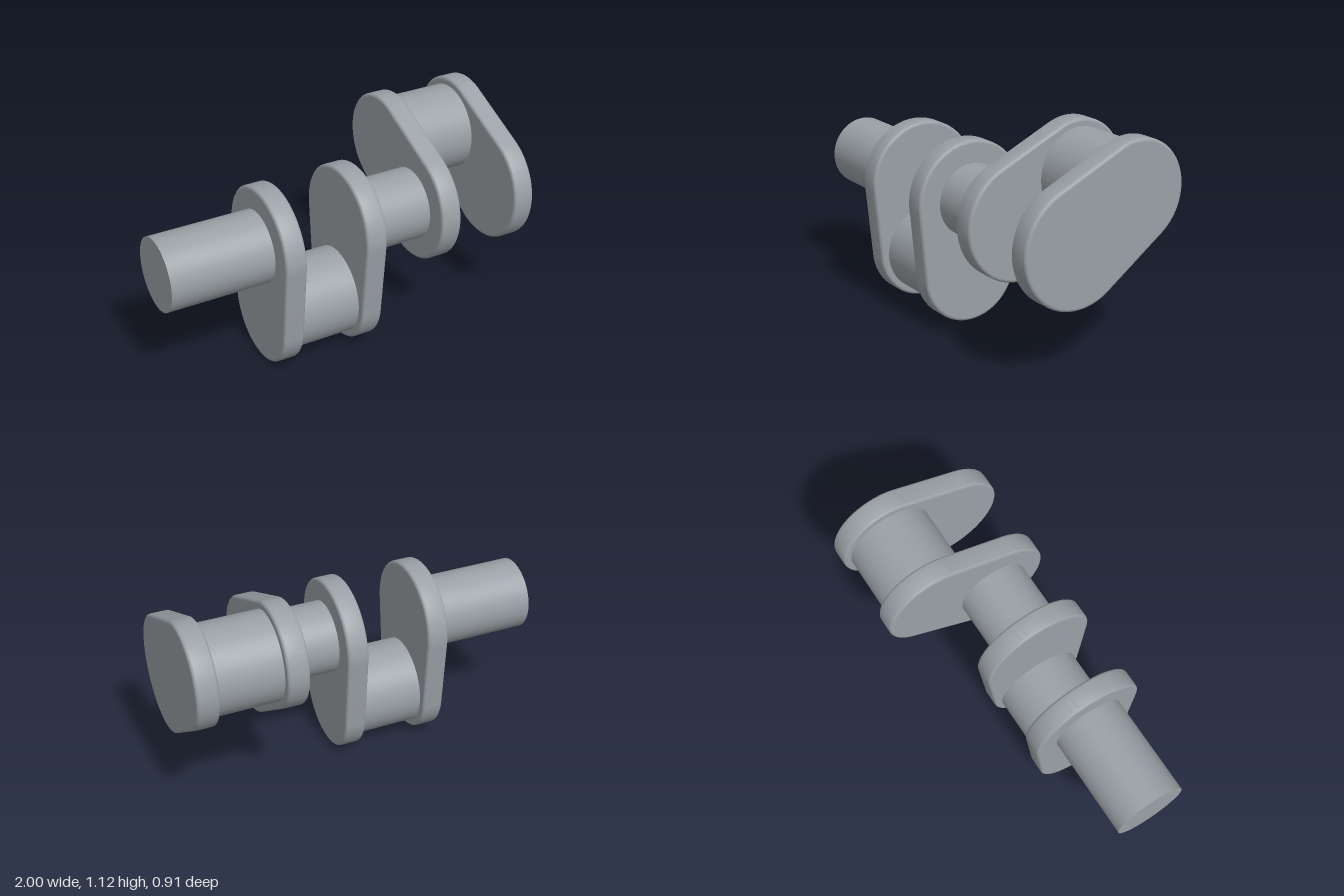
import * as THREE from 'three';
import { toCreasedNormals } from 'three/addons/utils/BufferGeometryUtils.js';

const MAIN = { y: 0.66, z: 0.15, r: 0.19, webR: 0.307 };
const PIN_R = 0.23, PIN_WEB_R = 0.27, THROW = 0.39, WEB_W = 0.115, FILLET = 0.016;

// Crank pin centre for a throw angle, measured from straight down towards the back
function pinCentre(angle) {
  return { y: MAIN.y - THROW * Math.cos(angle), z: MAIN.z - THROW * Math.sin(angle) };
}

// Round shaft section running along x
function shaft(name, x0, x1, c, r, material) {
  const g = new THREE.CylinderGeometry(r, r, x1 - x0, 72).rotateZ(Math.PI / 2);
  const mesh = new THREE.Mesh(g, material);
  mesh.name = name;
  mesh.position.set((x0 + x1) / 2, c.y, c.z);
  return mesh;
}

// Web: two circles joined by their tangents, with filleted rims
function web(name, x0, pin, material) {
  const u0 = -MAIN.z, u1 = -pin.z; // the shape's horizontal axis is -z
  const a = Math.atan2(pin.y - MAIN.y, u1 - u0);
  const b = Math.acos((MAIN.webR - PIN_WEB_R) / THROW);
  const shape = new THREE.Shape();
  shape.absarc(u1, pin.y, PIN_WEB_R, a - b, a + b);
  shape.absarc(u0, MAIN.y, MAIN.webR, a + b, a - b + Math.PI * 2);
  let g = new THREE.ExtrudeGeometry(shape, {
    depth: WEB_W - 2 * FILLET, curveSegments: 40, bevelEnabled: true,
    bevelSize: FILLET, bevelOffset: -FILLET, bevelThickness: FILLET, bevelSegments: 5,
  });
  g.translate(0, 0, FILLET).rotateY(Math.PI / 2);
  const flat = g.attributes.normal.clone();
  g = toCreasedNormals(g, 0.6);
  // Keep the two end faces perfectly flat
  const n = g.attributes.normal;
  for (let i = 0; i < n.count; i++) {
    if (Math.abs(flat.getX(i)) > 0.999) n.setXYZ(i, Math.sign(flat.getX(i)), 0, 0);
  }
  const mesh = new THREE.Mesh(g, material);
  mesh.name = name;
  mesh.position.x = x0;
  return mesh;
}

export function createModel() {
  const steel = new THREE.MeshStandardMaterial({ color: 0x9aa0a5 });
  steel.name = 'steel grey';
  const model = new THREE.Group();
  model.name = 'crankshaft';

  // Main journals on the axis of rotation
  model.add(shaft('endJournal', -1, -0.45, MAIN, MAIN.r, steel));
  model.add(shaft('middleJournal', 0.1, 0.445, MAIN, MAIN.r, steel));

  // Each throw is a crank pin between two webs
  const throws = [
    { name: 'lowerThrow', angle: 0, x: [-0.455, -0.005] },
    { name: 'upperThrow', angle: Math.PI * 2 / 3, x: [0.435, 0.885] },
  ];
  for (const t of throws) {
    const pin = pinCentre(t.angle);
    const group = new THREE.Group();
    group.name = t.name;
    group.add(web('rightWeb', t.x[0], pin, steel));
    group.add(web('leftWeb', t.x[1], pin, steel));
    group.add(shaft('crankPin', t.x[0] + WEB_W - 0.01, t.x[1] + 0.01, pin, PIN_R, steel));
    model.add(group);
  }
  return model;
}
